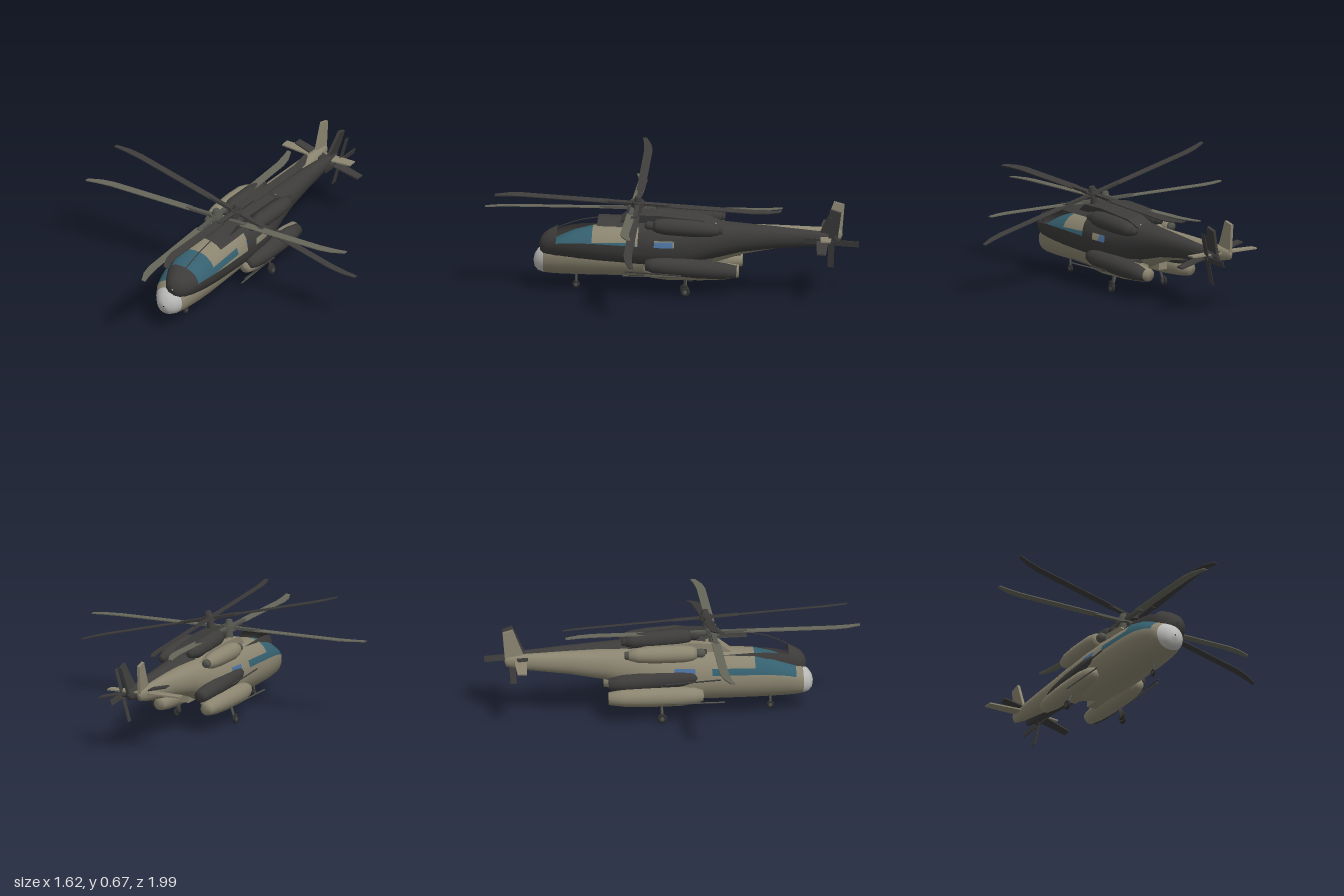
import * as THREE from 'three';

const mat = (name, color, side = THREE.FrontSide) => {
  const m = new THREE.MeshStandardMaterial({ color, side });
  m.name = name;
  return m;
};
const HUB = [0, 0.44, 0.215];

function add(parent, name, geometry, material, x = 0, y = 0, z = 0) {
  const m = new THREE.Mesh(geometry, material);
  m.name = name;
  m.position.set(x, y, z);
  parent.add(m);
  return m;
}

// straight round bar between two points
function bar(parent, name, a, b, r, material) {
  const A = new THREE.Vector3(...a), B = new THREE.Vector3(...b);
  const d = B.clone().sub(A);
  const m = add(parent, name, new THREE.CylinderGeometry(r, r, d.length(), 10), material);
  m.position.copy(A).addScaledVector(d, 0.5);
  m.quaternion.setFromUnitVectors(new THREE.Vector3(0, 1, 0), d.normalize());
}

// round pod along z from [radius, z] points
function pod(parent, name, profile, material, x, y) {
  const pts = profile.map(([r, z]) => new THREE.Vector2(r, z));
  const g = new THREE.LatheGeometry(pts, 20).rotateX(Math.PI / 2);
  return add(parent, name, g, material, x, y, 0);
}

// flat plate from outline points, thickness centred on its plane
function plate(points, depth) {
  const s = new THREE.Shape(points.map(p => new THREE.Vector2(...p)));
  return new THREE.ExtrudeGeometry(s, { depth, bevelEnabled: false }).translate(0, 0, -depth / 2);
}

// fuselage sections: z, half width, widest height, top, bottom
const SECTIONS = [
  [0.745, 0.004, 0.15, 0.154, 0.146], [0.738, 0.035, 0.15, 0.185, 0.115],
  [0.72, 0.058, 0.155, 0.212, 0.095], [0.69, 0.08, 0.165, 0.234, 0.086],
  [0.65, 0.1, 0.185, 0.255, 0.082], [0.6, 0.113, 0.195, 0.282, 0.08],
  [0.53, 0.125, 0.2, 0.312, 0.079], [0.43, 0.132, 0.2, 0.338, 0.078],
  [0.2, 0.134, 0.2, 0.35, 0.078], [0.11, 0.134, 0.2, 0.354, 0.08],
  [0, 0.132, 0.205, 0.357, 0.087], [-0.1, 0.12, 0.22, 0.36, 0.105],
  [-0.22, 0.097, 0.25, 0.362, 0.155], [-0.36, 0.073, 0.275, 0.36, 0.2],
  [-0.55, 0.052, 0.295, 0.357, 0.235], [-0.8, 0.028, 0.308, 0.35, 0.267],
  [-0.88, 0.016, 0.315, 0.338, 0.285], [-0.89, 0.002, 0.315, 0.318, 0.31],
];

// lofted hull, sorted by colour; open leaves the windows as holes
function hullGeometry(open) {
  const N = 24, pos = [], lists = [[], [], [], []];
  for (const [z, w, cy, top, bottom] of SECTIONS) {
    for (let i = 0; i < N; i++) {
      const a = (i / N) * Math.PI * 2, c = Math.cos(a), s = Math.sin(a);
      const x = w * Math.sign(c) * Math.abs(c) ** 0.85;
      pos.push(x, cy + s * (s > 0 ? top - cy : cy - bottom), z);
    }
  }
  for (let j = 0; j < SECTIONS.length - 1; j++) {
    const z = (SECTIONS[j][0] + SECTIONS[j + 1][0]) / 2;
    for (let i = 0; i < N; i++) {
      const k = i < 12 ? Math.min(i, 11 - i) : -1;
      let kind = z > 0.69 ? 1 : 0;
      if (z < 0.65 && z > 0.43 && k >= 1) kind = 2;
      if (z < 0.43 && z > 0.2 && k >= 1 && k <= (open ? 3 : 1)) kind = 2;
      if (z < 0.11 && z > 0 && k === 1) kind = 3;
      if (open && kind > 1) continue;
      const a = j * N + i, b = j * N + (i + 1) % N;
      lists[kind].push(a, a + N, b, b, a + N, b + N);
    }
  }
  const g = new THREE.BufferGeometry();
  g.setAttribute('position', new THREE.Float32BufferAttribute(pos, 3));
  g.setIndex(lists.flat());
  let start = 0;
  lists.forEach((l, i) => { g.addGroup(start, l.length, i); start += l.length; });
  g.computeVertexNormals();
  return g;
}

function mainRotor(p) {
  const rotor = new THREE.Group();
  rotor.name = 'mainRotor';
  rotor.position.set(...HUB);
  const outline = [[-0.024, 0.16], [-0.024, 0.64], [-0.012, 0.71], [0.018, 0.783],
    [0.042, 0.785], [0.03, 0.72], [0.022, 0.64], [0.022, 0.16]];
  // plate turned flat, running along +z
  const blade = plate(outline, 0.005).rotateX(Math.PI / 2);
  for (let i = 0; i < 4; i++) {
    const arm = new THREE.Group();
    arm.name = 'rotorBlade';
    arm.rotation.y = i * Math.PI / 2;
    add(arm, 'blade', blade, p.blade);
    add(arm, 'bladeRoot', new THREE.BoxGeometry(0.026, 0.014, 0.16), p.metal, 0, 0, 0.1);
    rotor.add(arm);
  }
  add(rotor, 'hub', new THREE.CylinderGeometry(0.034, 0.038, 0.028, 20), p.metal);
  add(rotor, 'hubCap', new THREE.CylinderGeometry(0.016, 0.024, 0.028, 16), p.metal, 0, 0.028, 0);
  add(rotor, 'mast', new THREE.CylinderGeometry(0.017, 0.03, 0.1, 16), p.metal, 0, -0.055, 0);
  return rotor;
}

function wheel(parent, p, x, y, z, r) {
  add(parent, 'tyre', new THREE.TorusGeometry(r * 0.65, r * 0.35, 10, 20).rotateY(Math.PI / 2), p.tyre, x, y, z);
  add(parent, 'wheelHub', new THREE.CylinderGeometry(r * 0.5, r * 0.5, r * 0.5, 14).rotateZ(Math.PI / 2), p.metal, x, y, z);
}

function helicopter(name, p, open) {
  const h = new THREE.Group();
  h.name = name;
  add(h, 'fuselage', hullGeometry(open), [p.hull, p.nose, p.glass, p.door]);

  // thin windscreen post over an open cockpit
  if (open) {
    const curve = new THREE.CatmullRomCurve3(SECTIONS.slice(4, 8).map(s => new THREE.Vector3(0, s[3], s[0])));
    add(h, 'windscreenPost', new THREE.TubeGeometry(curve, 12, 0.003, 6), p.hull);
  }

  // gearbox fairing between the engines
  const fairing = plate([[-0.3, 0.33], [0.32, 0.33], [0.25, 0.385], [0.1, 0.395], [-0.15, 0.385]], 0.09).rotateY(-Math.PI / 2);
  add(h, 'gearboxFairing', fairing, p.hull);
  h.add(mainRotor(p));

  for (const s of [1, -1]) {
    // engines
    pod(h, 'engine', [[0, -0.24], [0.026, -0.24], [0.04, -0.19], [0.046, -0.1], [0.046, 0.05], [0.038, 0.1], [0.028, 0.12], [0, 0.12]], p.hull, s * 0.088, 0.355);
    pod(h, 'engineIntake', [[0, 0.11], [0.022, 0.11], [0.024, 0.15], [0.014, 0.165], [0, 0.168]], p.metal, s * 0.088, 0.355);
    pod(h, 'exhaust', [[0, -0.26], [0.02, -0.26], [0.024, -0.23], [0, -0.23]], p.metal, s * 0.088, 0.355);
    add(h, 'enginePylon', new THREE.BoxGeometry(0.06, 0.04, 0.2), p.hull, s * 0.06, 0.335, -0.04);

    // side sponsons
    pod(h, 'sponson', [[0, -0.35], [0.034, -0.35], [0.046, -0.27], [0.052, -0.15], [0.052, 0.03], [0.043, 0.11], [0.03, 0.15], [0, 0.155]], p.hull, s * 0.136, 0.135);
    add(h, 'sponsonPylon', new THREE.BoxGeometry(0.1, 0.05, 0.28), p.hull, s * 0.085, 0.145, -0.07);
    bar(h, 'probe', [s * 0.185, 0.11, -0.05], [s * 0.185, 0.11, 0.26], 0.004, p.metal);

    // main landing gear
    bar(h, 'mainStrut', [s * 0.14, 0.11, -0.07], [s * 0.168, 0.026, -0.07], 0.007, p.metal);
    wheel(h, p, s * 0.172, 0.026, -0.07, 0.026);

    // tailplane halves
    const half = plate([[0, -0.77], [0.21, -0.79], [0.21, -0.84], [0, -0.84]], 0.008).rotateX(Math.PI / 2);
    const t = add(h, 'tailplane', half, p.hull, 0, 0.315, 0);
    if (s < 0) { t.rotation.z = Math.PI; }
  }

  // nose gear
  bar(h, 'noseStrut', [0, 0.1, 0.52], [0, 0.02, 0.52], 0.006, p.metal);
  wheel(h, p, 0, 0.02, 0.52, 0.02);

  // tail fin
  const fin = plate([[-0.75, 0.33], [-0.79, 0.35], [-0.845, 0.49], [-0.9, 0.475], [-0.885, 0.3], [-0.8, 0.285]], 0.016).rotateY(-Math.PI / 2);
  add(h, 'tailFin', fin, p.hull);

  // tail rotor
  if (open) {
    const r = new THREE.Group();
    r.name = 'tailRotor';
    r.position.set(0.05, 0.315, -0.857);
    add(r, 'tailHub', new THREE.CylinderGeometry(0.012, 0.012, 0.06, 12).rotateZ(Math.PI / 2), p.metal, -0.022, 0, 0);
    for (let i = 0; i < 4; i++) {
      const b = add(r, 'tailBlade', new THREE.BoxGeometry(0.004, 0.15, 0.034).translate(0, 0.076, 0), p.blade);
      b.rotation.x = i * Math.PI / 2;
    }
    h.add(r);
  }
  return h;
}

export function createModel() {
  const model = new THREE.Group();
  model.name = 'helicopterPair';
  const tan = mat('tan', 0x8b8570), metal = mat('metal', 0x55554f), tyre = mat('tyre', 0x303030);
  const dark = mat('charcoal', 0x3d3c3b, THREE.DoubleSide);
  const first = helicopter('tanHelicopter', {
    hull: tan, nose: mat('paleNose', 0xbcbcba), glass: mat('tealGlass', 0x35606f),
    door: mat('blueGlass', 0x4a6f9c), blade: mat('bladeGrey', 0x66665a), metal, tyre,
  }, false);
  first.position.x = -0.027;
  model.add(first);

  // second machine, banked and pitched about its rotor hub
  const second = helicopter('charcoalHelicopter', {
    hull: dark, nose: dark, glass: dark, door: dark, blade: dark, metal: dark, tyre,
  }, true);
  second.position.set(-HUB[0], -HUB[1], -HUB[2]);
  const tilt = new THREE.Group();
  tilt.name = 'bankedHelicopter';
  tilt.add(second);
  tilt.position.set(0.075, 0.485, 0.185);
  tilt.rotation.set(-0.06, 0, -0.247);
  tilt.scale.setScalar(0.965);
  model.add(tilt);
  return model;
}
